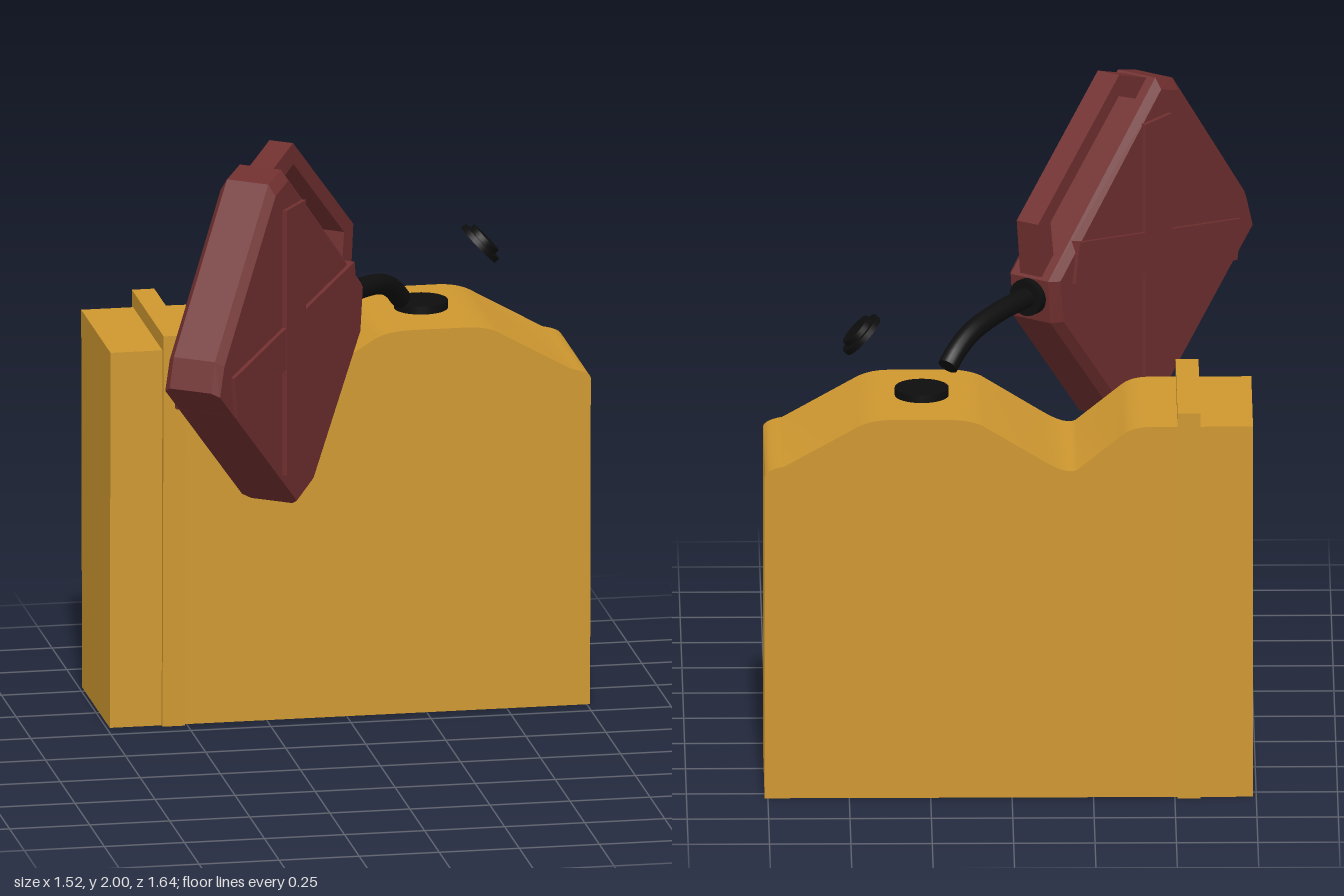
import * as THREE from 'three';
import { toCreasedNormals } from 'three/addons/utils/BufferGeometryUtils.js';
import { ConvexGeometry } from 'three/addons/geometries/ConvexGeometry.js';

const yellow = new THREE.MeshStandardMaterial({ color: 0xcf9830 });
const red = new THREE.MeshStandardMaterial({ color: 0x702f2f });
const black = new THREE.MeshStandardMaterial({ color: 0x0e0e0e });

function add(parent, name, geometry, material, x = 0, y = 0, z = 0) {
  const mesh = new THREE.Mesh(geometry, material);
  mesh.name = name;
  mesh.position.set(x, y, z);
  parent.add(mesh);
  return mesh;
}

// Widens a part of unit depth slightly from its foot to its top.
function taper(geometry, bottom, top) {
  const p = geometry.attributes.position;
  for (let i = 0; i < p.count; i++) {
    const half = bottom + (top - bottom) * p.getY(i) / 1.22;
    p.setZ(i, Math.sign(p.getZ(i)) * half);
  }
  geometry.computeVertexNormals();
  return toCreasedNormals(geometry, 0.5);
}

function createTank() {
  const tank = new THREE.Group();
  tank.name = 'tank';
  tank.position.z = -0.56;

  // Body with a valley and a hump along its top
  const shape = new THREE.Shape();
  shape.moveTo(-0.74, 0);
  shape.lineTo(0.76, 0);
  shape.lineTo(0.76, 1.045);
  shape.quadraticCurveTo(0.755, 1.065, 0.7, 1.075);
  shape.lineTo(0.47, 1.205);
  shape.quadraticCurveTo(0.43, 1.225, 0.37, 1.225);
  shape.lineTo(0.2, 1.225);
  shape.quadraticCurveTo(0.13, 1.225, 0.09, 1.205);
  shape.lineTo(-0.1, 1.088);
  shape.quadraticCurveTo(-0.17, 1.045, -0.2, 1.062);
  shape.lineTo(-0.34, 1.175);
  shape.quadraticCurveTo(-0.37, 1.2, -0.43, 1.2);
  shape.lineTo(-0.74, 1.2);
  const body = new THREE.ExtrudeGeometry(shape, { depth: 1, bevelEnabled: false, curveSegments: 6 });
  body.translate(0, 0, -0.5);
  add(tank, 'tankBody', taper(body, 0.236, 0.25), yellow);

  // Strap around the narrow end
  const strap = new THREE.BoxGeometry(0.07, 1.25, 1);
  strap.translate(-0.543, 0.625, 0);
  add(tank, 'strap', taper(strap, 0.252, 0.27), yellow);

  // Filler neck and its loose cap
  add(tank, 'fillerNeck', new THREE.CylinderGeometry(0.083, 0.083, 0.05, 32), black, 0.275, 1.225, 0);
  const cap = new THREE.Group();
  cap.name = 'looseCap';
  cap.position.set(0.46, 1.42, 0);
  cap.rotation.z = -0.82;
  add(cap, 'capDisc', new THREE.CylinderGeometry(0.075, 0.075, 0.018, 32), black);
  add(cap, 'capRim', new THREE.CylinderGeometry(0.055, 0.055, 0.022, 32), black, 0, 0.016, 0);
  tank.add(cap);
  return tank;
}

function createCan() {
  const can = new THREE.Group();
  can.name = 'pouringCan';
  can.position.set(-0.091, 0, -0.065);
  can.rotation.y = 0.95;

  // Shell, tipped forward, its origin at the middle of the base
  const shell = new THREE.Group();
  shell.name = 'canShell';
  shell.position.set(-0.735, 1.125, 0);
  shell.rotation.z = -0.702;
  can.add(shell);

  // Chamfered outline, full at the middle and inset on both broad sides
  const outline = [[-0.386, 0], [0.386, 0], [0.455, 0.11], [0.467, 0.646],
    [0.389, 0.76], [-0.377, 0.775], [-0.432, 0.697], [-0.423, 0.09]];
  const points = [];
  for (const s of [-1, 1]) {
    for (const [a, b] of outline) {
      points.push(new THREE.Vector3(a, b, s * 0.07));
      points.push(new THREE.Vector3(a * 0.94, b > 0.5 ? b - 0.025 : b, s * 0.093));
    }
  }
  add(shell, 'canBody', new ConvexGeometry(points), red);

  // Handle bar on two splayed posts
  const handleShape = new THREE.Shape([[-0.38, 0.76], [-0.29, 0.905], [0.28, 0.905],
    [0.385, 0.75], [0.3, 0.75], [0.235, 0.855], [-0.245, 0.855], [-0.3, 0.76]]
    .map(([a, b]) => new THREE.Vector2(a, b)));
  const handle = new THREE.ExtrudeGeometry(handleShape, { depth: 0.08, bevelEnabled: false });
  handle.translate(0, 0, -0.04);
  add(shell, 'handle', handle, red);

  // Raised cross running through to both broad sides
  add(can, 'crossUpright', new THREE.BoxGeometry(0.14, 0.845, 0.214), red, -0.49, 1.42, 0);
  const arm = add(can, 'crossArm', new THREE.BoxGeometry(0.88, 0.13, 0.212), red, -0.49, 1.415, 0);
  arm.rotation.z = 0.175;

  // Spout collar and bent spout
  const collar = add(can, 'spoutCollar', new THREE.CylinderGeometry(0.058, 0.058, 0.05, 24), black, 0.05, 1.395, 0);
  collar.rotation.z = Math.PI / 2;
  const path = new THREE.CatmullRomCurve3([[0.03, 1.395], [0.2, 1.39], [0.36, 1.363], [0.44, 1.325], [0.49, 1.285]]
    .map(([x, y]) => new THREE.Vector3(x, y, 0)));
  add(can, 'spout', new THREE.TubeGeometry(path, 24, 0.032, 16), black);
  const end = new THREE.CircleGeometry(0.032, 16);
  const tip = add(can, 'spoutTip', end, black, 0.49, 1.285, 0);
  tip.quaternion.setFromUnitVectors(new THREE.Vector3(0, 0, 1), path.getTangentAt(1));
  return can;
}

export function createModel() {
  const model = new THREE.Group();
  model.name = 'fuelTankAndCan';
  model.add(createTank(), createCan());
  return model;
}
